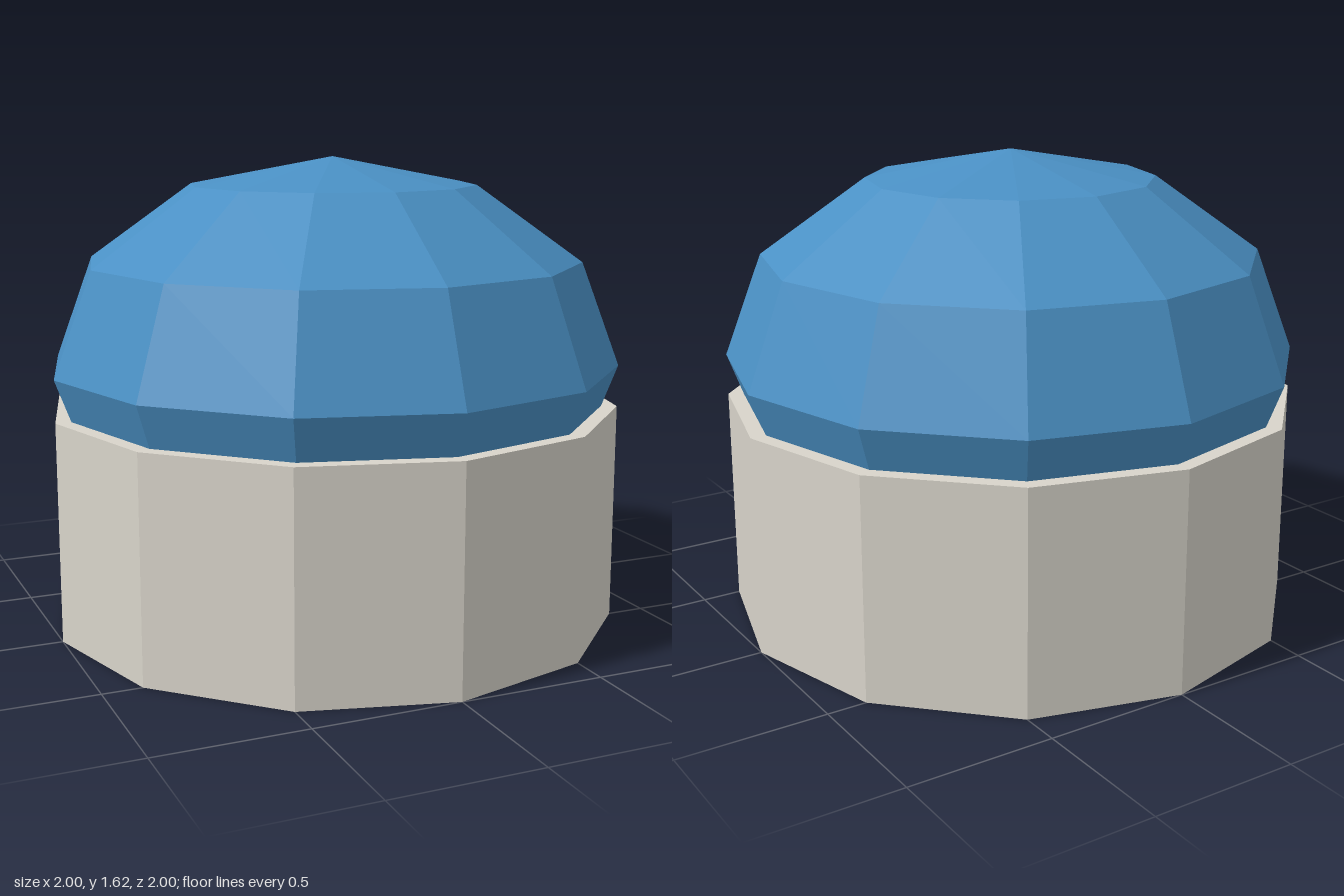
import * as THREE from 'three';

const SIDES = 12;
const BASE_HEIGHT = 0.76;
const DOME_CENTRE = 0.905;
const DOME_HALF_HEIGHT = 0.715;

function part(name, geometry, color) {
  const material = new THREE.MeshStandardMaterial({ color, flatShading: true });
  const mesh = new THREE.Mesh(geometry, material);
  mesh.name = name;
  return mesh;
}

export function createModel() {
  const model = new THREE.Group();
  model.name = 'domedButton';

  // Twelve-sided drum standing on the ground
  const base = part('base', new THREE.CylinderGeometry(1, 1, BASE_HEIGHT, SIDES), 0xd8d4ca);
  base.position.y = BASE_HEIGHT / 2;

  // Flattened faceted ball, its lower part sunk into the drum
  const ball = new THREE.SphereGeometry(1, SIDES, 6);
  ball.scale(1, DOME_HALF_HEIGHT, 1);
  const dome = part('dome', ball, 0x4a90c4);
  dome.position.y = DOME_CENTRE;

  model.add(base, dome);
  return model;
}
